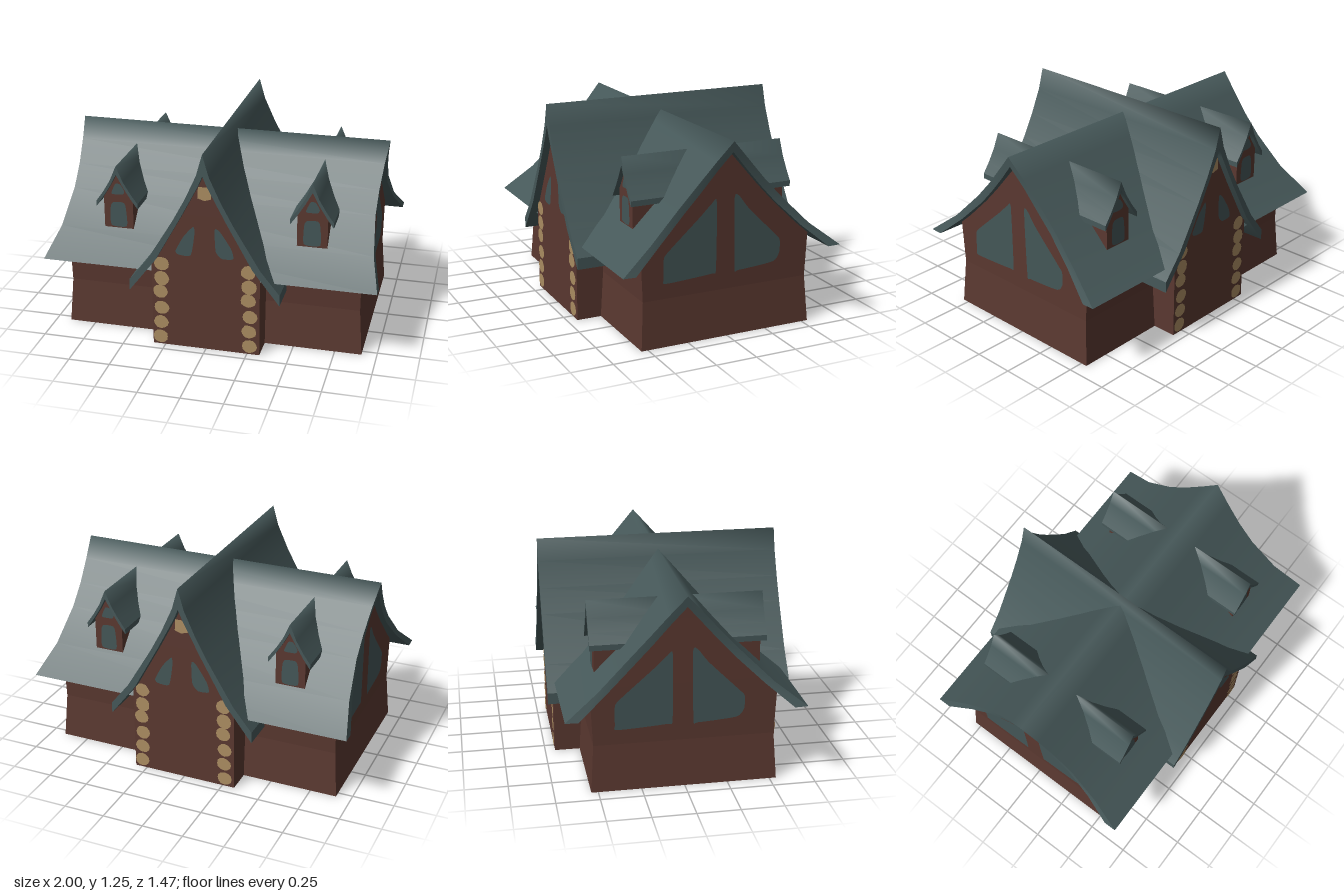
import * as THREE from 'three';
import { mergeGeometries } from 'three/addons/utils/BufferGeometryUtils.js';

const flat = (name, color, side = THREE.FrontSide) => {
  const m = new THREE.MeshStandardMaterial({ color, side });
  m.name = name;
  return m;
};

// Ruled surface between two rows of points, smooth along the rows
function strip(a, b) {
  const g = new THREE.BufferGeometry().setFromPoints([...a, ...b]);
  const n = a.length, index = [];
  for (let i = 0; i < n - 1; i++) {
    index.push(i, n + i, i + 1, n + i, n + i + 1, i + 1);
  }
  g.setIndex(index);
  g.computeVertexNormals();
  return g;
}

// Thick curved gable roof: half profiles run from ridge to eave, ridge runs along z
function roofGeometry(outer, inner, halfLength) {
  const row = (half, s) => [...half.slice(1).reverse().map(([x, y]) => [-x, y]), ...half]
    .map(([x, y]) => new THREE.Vector3(x, y, s * halfLength(y)));
  const oF = row(outer, 1), oB = row(outer, -1), iF = row(inner, 1), iB = row(inner, -1);
  const e = oF.length - 1;
  return mergeGeometries([
    strip(oB, oF), strip(iF, iB),                       // top and underside
    strip(oF, iF), strip(iB, oB),                       // gable edges
    strip([oF[e], oB[e]], [iF[e], iB[e]]),              // eave edges
    strip([oB[0], oF[0]], [iB[0], iF[0]]),
  ]);
}

// Walls through levels of [y, half width, half depth], with a floor
function wallGeometry(levels) {
  const edges = [[-1, 1], [1, 1], [1, -1], [-1, -1]].map(([sx, sz]) =>
    levels.map(([y, w, d]) => new THREE.Vector3(sx * w, y, sz * d)));
  const sides = edges.map((edge, i) => strip(edge, edges[(i + 1) % 4]));
  const [fl, fr, br, bl] = edges.map((edge) => edge[0]);
  const g = mergeGeometries([...sides, strip([fl, fr], [bl, br])]).toNonIndexed();
  g.computeVertexNormals();
  return g;
}

// Flat panel with a softly rounded outline
function panelGeometry(points) {
  const curve = new THREE.CatmullRomCurve3(
    points.map(([x, y]) => new THREE.Vector3(x, y, 0)), true, 'catmullrom', 0.3);
  return new THREE.ShapeGeometry(new THREE.Shape(
    curve.getPoints(points.length * 4).slice(0, -1).map((p) => new THREE.Vector2(p.x, p.y))));
}

export function createModel() {
  const roofMat = flat('slate teal', 0x465859);
  const wallMat = flat('brown wood', 0x5a3830);
  const glassMat = flat('window teal', 0x445657, THREE.DoubleSide);
  const stoneMat = flat('tan stone', 0xab8d62, THREE.DoubleSide);

  const house = new THREE.Group();
  house.name = 'house';
  const add = (parent, name, geometry, material, x = 0, y = 0, z = 0) => {
    const mesh = new THREE.Mesh(geometry, material);
    mesh.name = name;
    mesh.position.set(x, y, z);
    parent.add(mesh);
    return mesh;
  };

  // Main hall, ridge along x, with pinched roof ends
  const pinch = [[0.48, 1.0], [0.62, 0.95], [0.74, 0.925], [0.97, 0.93], [1.157, 0.958]];
  const mainEnd = (y) => {
    if (y <= pinch[0][0]) return 1;
    for (let i = 1; i < pinch.length; i++) {
      const [y0, x0] = pinch[i - 1], [y1, x1] = pinch[i];
      if (y <= y1) return x0 + (x1 - x0) * (y - y0) / (y1 - y0);
    }
    return 0.958;
  };
  const mainRoof = add(house, 'mainRoof', roofGeometry(
    [[0, 1.157], [0.1, 1.045], [0.21, 0.92], [0.32, 0.803], [0.5, 0.625], [0.688, 0.48]],
    [[0, 1.094], [0.09, 0.99], [0.19, 0.875], [0.29, 0.768], [0.45, 0.615], [0.612, 0.478]],
    mainEnd), roofMat);
  mainRoof.rotation.y = Math.PI / 2;
  add(house, 'mainWalls', wallGeometry([
    [0, 0.91, 0.54], [0.28, 0.888, 0.522], [0.56, 0.89, 0.535], [0.63, 0.89, 0.46],
    [0.78, 0.889, 0.3], [1.01, 0.888, 0.095], [1.11, 0.888, 0],
  ]), wallMat);

  // Cross wing, ridge along z
  add(house, 'wingRoof', roofGeometry(
    [[0, 1.25], [0.037, 1.12], [0.105, 0.97], [0.18, 0.83], [0.337, 0.57], [0.45, 0.43]],
    [[0, 1.12], [0.028, 1.055], [0.08, 0.955], [0.135, 0.85], [0.29, 0.57], [0.45, 0.362]],
    () => 0.733), roofMat);
  add(house, 'wingWalls', wallGeometry([
    [0, 0.325, 0.69], [0.54, 0.325, 0.69], [0.59, 0.29, 0.69],
    [0.86, 0.14, 0.69], [1.06, 0.033, 0.69], [1.14, 0, 0.69],
  ]), wallMat);

  // Details for one half; the other half is the same turned around
  const dormerRoof = roofGeometry(
    [[0, 1.043], [0.04, 0.95], [0.085, 0.875], [0.128, 0.815]],
    [[0, 0.99], [0.04, 0.915], [0.085, 0.843], [0.128, 0.782]], () => 0.24);
  const dormerWalls = wallGeometry([
    [0.6, 0.09, 0.19], [0.845, 0.09, 0.19], [0.925, 0.042, 0.19], [1.0, 0, 0.19]]);
  const dormerPanes = [
    panelGeometry([[-0.048, 0.656], [-0.048, 0.775], [-0.03, 0.805], [0.03, 0.807], [0.045, 0.78], [0.049, 0.656]]),
    panelGeometry([[-0.04, 0.866], [-0.015, 0.922], [0.015, 0.922], [0.04, 0.88], [0.028, 0.858], [-0.03, 0.856]]),
  ];
  const wingPanes = [
    panelGeometry([[-0.068, 0.79], [-0.06, 0.75], [-0.085, 0.608], [-0.16, 0.606], [-0.175, 0.63], [-0.125, 0.725]]),
    panelGeometry([[0.06, 0.785], [0.09, 0.775], [0.155, 0.675], [0.168, 0.612], [0.1, 0.606], [0.064, 0.65]]),
  ];
  const gablePanes = [
    panelGeometry([[-0.07, 0.805], [-0.1, 0.8], [-0.18, 0.724], [-0.375, 0.55], [-0.398, 0.508],
      [-0.398, 0.4], [-0.385, 0.37], [-0.1, 0.386], [-0.07, 0.41]]),
    panelGeometry([[0.043, 0.815], [0.075, 0.82], [0.134, 0.744], [0.31, 0.567], [0.344, 0.528],
      [0.343, 0.449], [0.3, 0.4], [0.075, 0.382], [0.05, 0.398]]),
  ];
  const keystone = new THREE.ShapeGeometry(new THREE.Shape(
    [[-0.036, 1.04], [-0.041, 0.97], [0, 0.957], [0.041, 0.97], [0.036, 1.04]]
      .map((p) => new THREE.Vector2(...p))));

  // Rough corner stones as irregular polygons
  let seed = 7;
  const random = () => (seed = (seed * 16807) % 2147483647) / 2147483647;
  const stone = (rx, ry) => new THREE.ShapeGeometry(new THREE.Shape(
    Array.from({ length: 12 }, (_, i) => {
      const a = i * Math.PI / 6, r = 0.96 + 0.1 * random();
      return new THREE.Vector2(rx * r * Math.cos(a), ry * r * Math.sin(a));
    })));
  const stoneY = [0.053, 0.15, 0.246, 0.353, 0.44, 0.535];
  const stoneX = [[-0.278, -0.273, -0.267, -0.273, -0.264, -0.262], [0.265, 0.262, 0.267, 0.257, 0.262, 0.257]];

  for (const angle of [0, Math.PI]) {
    const half = new THREE.Group();
    half.name = angle ? 'backDetails' : 'frontDetails';
    half.rotation.y = angle;
    house.add(half);

    wingPanes.forEach((g) => add(half, 'wingWindow', g, glassMat, 0, 0, 0.694));
    add(half, 'keystone', keystone, stoneMat, 0, 0, 0.694);
    stoneX.forEach((xs) => xs.forEach((x, i) =>
      add(half, 'cornerStone', stone(0.045, i === 4 ? 0.047 : 0.043), stoneMat, x, stoneY[i], 0.694)));

    gablePanes.forEach((g) => {
      add(half, 'gableWindow', g, glassMat, 0.895, 0, 0).rotation.y = Math.PI / 2;
    });

    for (const x of [-0.587, 0.587]) {
      const dormer = new THREE.Group();
      dormer.name = 'dormer';
      dormer.position.x = x;
      half.add(dormer);
      add(dormer, 'dormerRoof', dormerRoof, roofMat, 0, 0, 0.273);
      add(dormer, 'dormerWalls', dormerWalls, wallMat, 0, 0, 0.295);
      dormerPanes.forEach((g) => add(dormer, 'dormerWindow', g, glassMat, 0, 0, 0.489));
    }
  }
  return house;
}
